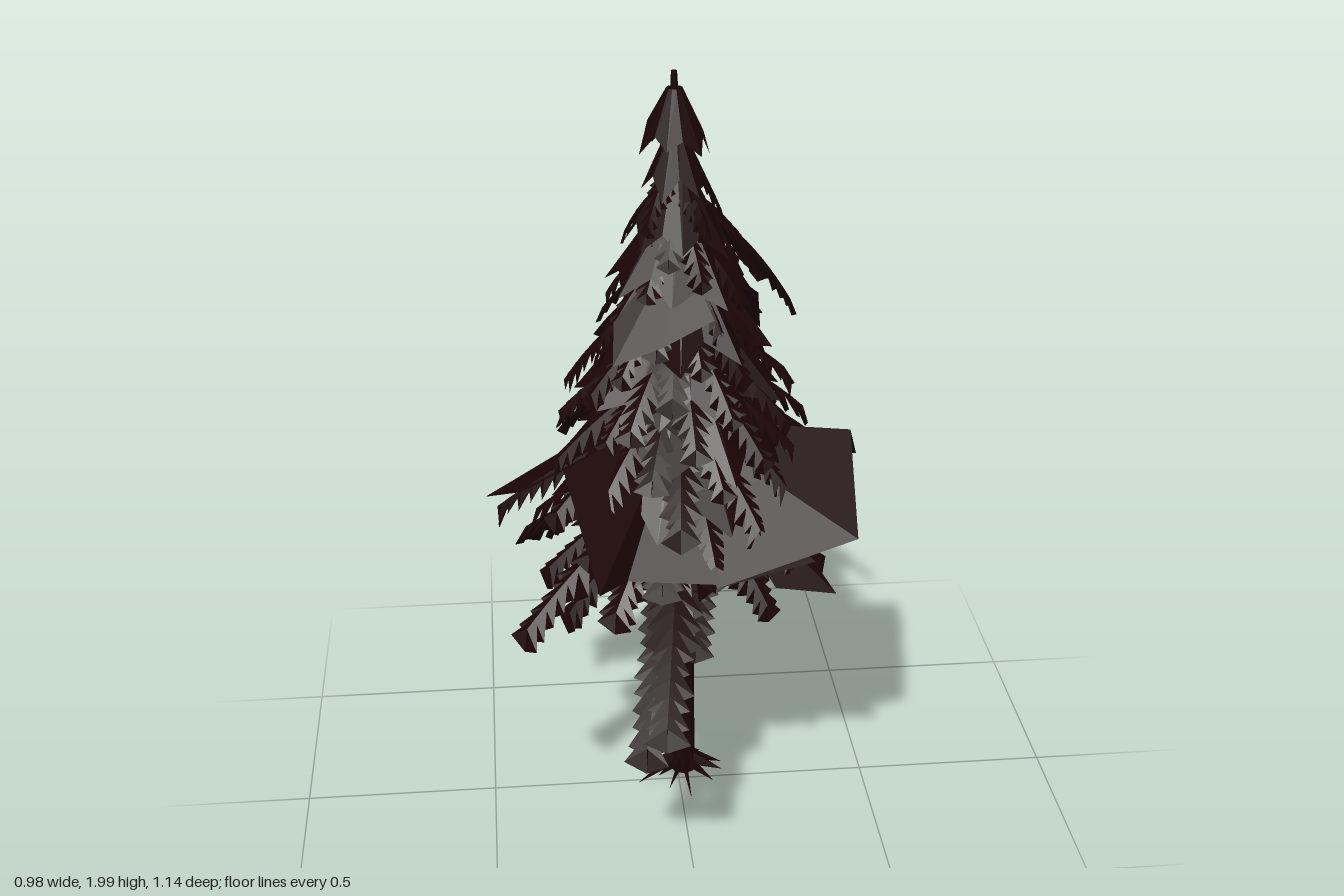
import * as THREE from 'three';

const bark = new THREE.MeshStandardMaterial({ color: 0x1b0405, side: THREE.DoubleSide, flatShading: true });
bark.name = 'dark brown';

// Small seeded random, -1..1
let seed = 7;
const rnd = () => {
  seed = (seed * 16807) % 2147483647;
  return (seed / 2147483647) * 2 - 1;
};

const V = (x, y, z) => new THREE.Vector3(x, y, z);
const UP = V(0, 1, 0);

// Gently bowed trunk axis
const axis = (y) => V(0.012 - 0.008 * y * y, y, -0.005 + 0.024 * y * y);
const polar = (y, a, r) => axis(y).add(V(Math.cos(a) * r, 0, Math.sin(a) * r));

// Mesh from a flat list of triangle corners
function triMesh(name, pts) {
  const g = new THREE.BufferGeometry().setFromPoints(pts);
  g.computeVertexNormals();
  const m = new THREE.Mesh(g, bark);
  m.name = name;
  return m;
}

// Tapered trunk lofted along the axis
function trunk() {
  const sides = 8, pts = [];
  const rows = [[0.04, 0.034], [0.1, 0.031], [0.5, 0.029], [0.9, 0.026], [1.4, 0.018], [1.93, 0.01], [2, 0.007]];
  for (let i = 0; i < rows.length - 1; i++) {
    for (let k = 0; k < sides; k++) {
      const p = (row, n) => polar(row[0], (n / sides) * Math.PI * 2, row[1]);
      const a = p(rows[i], k), b = p(rows[i], k + 1), c = p(rows[i + 1], k + 1), d = p(rows[i + 1], k);
      pts.push(a, d, c, a, c, b);
      if (i === rows.length - 2) pts.push(d, axis(2), c);
      if (i === 0) pts.push(a, b, axis(0.04));
    }
  }
  return triMesh('trunk', pts);
}

// Thin spiky roots round the foot
function roots() {
  const pts = [];
  for (let i = 0; i < 13; i++) {
    const a = (i / 13) * Math.PI * 2 + rnd() * 0.15;
    const tip = polar(i % 3 ? 0.045 + rnd() * 0.02 : 0.01 + rnd() * 0.01, a, 0.11 + rnd() * 0.02);
    const l = polar(0.055, a - 0.22, 0.03), r = polar(0.055, a + 0.22, 0.03), t = polar(0.09, a, 0.028);
    pts.push(t, r, tip, l, t, tip, r, l, tip);
  }
  return triMesh('roots', pts);
}

// Jagged conical skirt of foliage
function skirt(yTop, yEdge, r, n) {
  const pts = [], rim = [], inner = [];
  for (let i = 0; i < n * 2; i++) {
    const a = (i / (n * 2)) * Math.PI * 2 + yTop * 9;
    const out = i % 2 === 0;
    rim.push(polar(yEdge + (out ? 0 : 0.05) + rnd() * 0.02, a, r * (out ? 1 + rnd() * 0.1 : 0.78)));
    inner.push(polar(yTop, a, r * 0.22));
  }
  for (let i = 0; i < rim.length; i++) {
    const j = (i + 1) % rim.length;
    pts.push(inner[i], inner[j], rim[j], inner[i], rim[j], rim[i]);
  }
  return triMesh('foliageSkirt', pts);
}

// Drooping branch with overlapping serrated needle shards, broad at the base
function frondPoints(base, tip, width, arch, n) {
  const mid = base.clone().lerp(tip, 0.55).add(V(0, arch, 0));
  const curve = new THREE.QuadraticBezierCurve3(base, mid, tip);
  const pts = [];
  for (let i = 0; i < n; i++) {
    const t = i / n;
    const p = curve.getPoint(t), q = curve.getPoint(Math.min(1, t + 1.25 / n));
    const dir = q.clone().sub(p).normalize();
    const side = dir.clone().cross(UP).normalize();
    const w = width * (1.2 - 0.45 * t) * (1 + rnd() * 0.2);
    const wing = (s) => q.clone().addScaledVector(side, s * w).add(V(0, -w * 0.5, 0)).addScaledVector(dir, w * 0.25);
    const hang = q.clone().add(V(0, -w * (1.05 + rnd() * 0.25), 0)).addScaledVector(dir, w * 0.2);
    const l = wing(-1), r = wing(1);
    pts.push(p, q, l, p, r, q, p, q, hang, p, l, hang, p, hang, r);
  }
  return pts;
}

// Bulk of small branches spiralling up the crown
function crownBranches() {
  const pts = [];
  const count = 96;
  for (let i = 0; i < count; i++) {
    const t = i / (count - 1);
    const y = 1.66 - 0.84 * Math.pow(t, 0.85);
    const a = i * 2.39996;
    const r = (0.115 + (1.6 - y) * 0.355) * (1 + rnd() * 0.12);
    const base = polar(y + 0.12 + 0.1 * t, a, 0.02);
    pts.push(...frondPoints(base, polar(y, a, r), 0.035 + 0.02 * t, 0.045, 6 + Math.round(t * 5)));
  }
  return triMesh('crownBranches', pts);
}

// Ring of shorter boughs hanging under the crown, lowest at the front
function underBranches() {
  const pts = [], count = 10;
  for (let i = 0; i < count; i++) {
    const a = ((i + 0.5) / count) * Math.PI * 2;
    const y = 0.67 + 0.1 * Math.abs(Math.cos(a)) - 0.04 * Math.sin(a);
    pts.push(...frondPoints(axis(0.93), polar(y, a, 0.34 + rnd() * 0.03), 0.062, 0.06, 13));
  }
  return triMesh('underBranches', pts);
}

// Broad angular sheet fanning out from the trunk axis to an outer edge
function sheet(apexY, edge) {
  const pts = [];
  for (let i = 0; i < edge.length - 1; i++) {
    pts.push(axis(apexY), V(...edge[i + 1]), V(...edge[i]));
  }
  return triMesh('foliageSheet', pts);
}

export function createModel() {
  const tree = new THREE.Group();
  tree.name = 'pineTree';
  tree.add(trunk(), roots());

  // Tiers: top height, edge height, radius, teeth
  const tiers = [
    [1.96, 1.81, 0.085, 6], [1.86, 1.7, 0.085, 6], [1.77, 1.58, 0.13, 7], [1.68, 1.46, 0.17, 8],
    [1.58, 1.31, 0.21, 9], [1.45, 1.18, 0.25, 9], [1.32, 1.04, 0.29, 10], [1.22, 0.93, 0.34, 11],
    [1.1, 0.83, 0.34, 11], [1.0, 0.76, 0.27, 10], [0.92, 0.72, 0.17, 8],
  ];
  for (const t of tiers) tree.add(skirt(...t));
  tree.add(crownBranches(), underBranches());

  // Long boughs: tip x, y, z and attachment height
  const boughs = [
    [-0.08, 0.54, 0.55, 0.86], [-0.12, 0.41, 0.44, 0.82], [-0.4, 0.67, 0.28, 0.95],
    [-0.29, 0.63, 0.14, 0.9], [-0.39, 0.71, -0.18, 0.95], [-0.45, 0.89, 0.03, 1.1],
    [0.42, 0.66, -0.35, 0.95], [0.2, 0.76, -0.55, 0.97], [0.2, 0.66, -0.33, 0.92],
    [0.27, 1.41, 0.02, 1.7], [0.2, 1.46, -0.08, 1.72], [-0.28, 1.24, 0.05, 1.45], [-0.02, 1.5, -0.12, 1.72],
  ];
  for (const [x, y, z, at] of boughs) {
    const upper = at > 1.2;
    tree.add(triMesh('bough', frondPoints(axis(at), V(x, y, z), upper ? 0.048 : 0.062, upper ? 0.09 : 0.06, 14)));
  }

  // Foliage sheets: apex height, then outer edge
  const sheets = [
    // left side and front left
    [1.1, [[0.2, 0.85, -0.26], [0.49, 0.88, -0.19], [0.42, 1.08, 0.08], [0.39, 0.94, 0.39], [0.05, 0.84, 0.42]]],
    [1.05, [[0.36, 0.94, -0.05], [0.35, 0.75, 0.1], [0.28, 0.84, 0.2], [0.35, 0.77, 0.35], [0.2, 0.8, 0.36]]],
    // front and right side
    [1.08, [[0.3, 0.85, 0.33], [0.05, 0.84, 0.42], [0.02, 0.68, 0.22]]],
    [1.14, [[0.06, 0.85, 0.42], [-0.16, 0.86, 0.4], [-0.23, 0.87, 0.48], [-0.3, 1.1, 0.28], [-0.4, 0.93, 0.05],
      [-0.49, 0.87, -0.05], [-0.3, 0.9, -0.22], [-0.13, 0.97, -0.42]]],
    // back
    [1.18, [[-0.13, 0.97, -0.42], [0, 1.13, -0.33], [0, 0.88, -0.48], [0.13, 0.9, -0.39], [0.29, 0.9, -0.3], [0.4, 0.92, -0.22]]],
    // upper crown
    [1.58, [[0.06, 1.45, 0.24], [-0.06, 1.4, 0.27], [-0.18, 1.36, 0.28], [-0.17, 1.43, 0.18]]],
    [1.6, [[0.18, 1.46, 0.1], [0.2, 1.33, 0], [0.1, 1.38, -0.1]]],
  ];
  for (const s of sheets) tree.add(sheet(...s));

  return tree;
}
